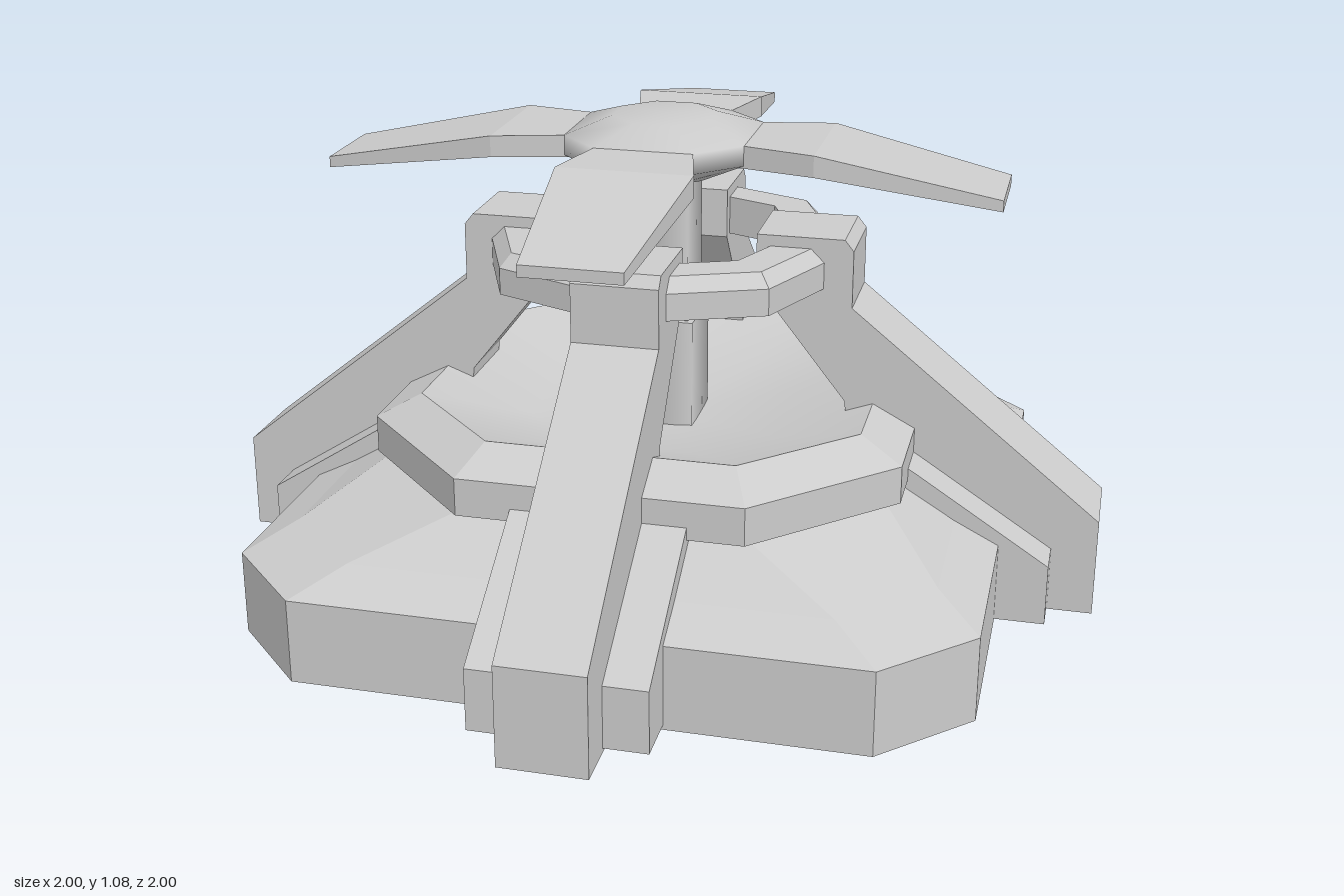
import * as THREE from 'three';
import { mergeVertices } from 'three/addons/utils/BufferGeometryUtils.js';

const material = (flat) => new THREE.MeshStandardMaterial({
  color: 0xcccccc, flatShading: flat, side: THREE.DoubleSide,
});

// Skin between successive loops of points, with optional centre-fan caps
function loft(loops, startCentre, endCentre, smooth = false) {
  const tris = [];
  const n = loops[0].length;
  for (let k = 0; k < loops.length - 1; k++) {
    for (let i = 0; i < n; i++) {
      const j = (i + 1) % n;
      const [a, b, c, d] = [loops[k][i], loops[k][j], loops[k + 1][j], loops[k + 1][i]];
      tris.push(a, b, c, a, c, d);
    }
  }
  for (let i = 0; i < n; i++) {
    const j = (i + 1) % n;
    if (startCentre) tris.push(loops[0][j], loops[0][i], startCentre);
    if (endCentre) tris.push(loops.at(-1)[i], loops.at(-1)[j], endCentre);
  }
  let geo = new THREE.BufferGeometry();
  geo.setAttribute('position', new THREE.Float32BufferAttribute(tris.flat(), 3));
  if (smooth) geo = mergeVertices(geo);
  geo.computeVertexNormals();
  return geo;
}

// Octagon with short flats (half width h) at distance d on each axis
function octagon(h, d, y) {
  return [[h, d], [d, h], [d, -h], [h, -d], [-h, -d], [-d, -h], [-d, h], [-h, d]]
    .map(([x, z]) => [x, y, z]);
}

// Regular octagon with its corners on the axes
function cornerOctagon(r, y) {
  return Array.from({ length: 8 }, (_, i) => {
    const a = (i * Math.PI) / 4;
    return [r * Math.sin(a), y, r * Math.cos(a)];
  });
}

// Side profile (radius, height) given a thickness
function slab(profile, width) {
  const shape = new THREE.Shape(profile.map(([r, y]) => new THREE.Vector2(r, y)));
  const geo = new THREE.ExtrudeGeometry(shape, { depth: width, bevelEnabled: false });
  return geo.translate(0, 0, -width / 2);
}

export function createModel() {
  const model = new THREE.Group();
  model.name = 'fanTower';
  const add = (name, geo, parent = model, flat = true) => {
    const mesh = new THREE.Mesh(geo, material(flat));
    mesh.name = name;
    parent.add(mesh);
    return mesh;
  };

  // Hollow base skirt, open underneath
  add('baseSkirt', loft([
    octagon(0.13, 1, 0.01), octagon(0.13, 1, 0.2),
    octagon(0.13, 0.86, 0.25), octagon(0.18, 0.6, 0.34),
  ]));

  // Raised rim with a chamfered top
  add('baseRim', loft([
    octagon(0.18, 0.6, 0.335), octagon(0.2, 0.64, 0.335),
    octagon(0.2, 0.64, 0.42), octagon(0.16, 0.545, 0.47),
  ]));

  // Shallow dish inside the rim
  add('dish', loft([
    octagon(0.16, 0.545, 0.47), octagon(0.1, 0.3, 0.39),
  ], null, [0, 0.36, 0], true), model, false);

  // Square shaft in two steps, corners facing the axes
  const shaft = (name, r, y0, y1) => add(name,
    new THREE.CylinderGeometry(r, r, y1 - y0, 4).translate(0, (y0 + y1) / 2, 0), model, false);
  shaft('lowerShaft', 0.118, 0, 0.62);
  shaft('upperShaft', 0.098, 0.62, 0.96);

  // Collar tying the tops of the legs together
  add('collar', loft([
    cornerOctagon(0.3, 0.73), cornerOctagon(0.42, 0.73), cornerOctagon(0.42, 0.79),
    cornerOctagon(0.39, 0.82), cornerOctagon(0.3, 0.82), cornerOctagon(0.3, 0.73),
  ]));

  // Fan hub
  add('fanHub', loft([
    octagon(0.04, 0.09, 0.94), octagon(0.065, 0.22, 1.0),
    octagon(0.065, 0.22, 1.045), octagon(0.045, 0.11, 1.08),
  ], [0, 0.94, 0], [0, 1.08, 0], true), model, false);

  // Legs, flanking ribs and fan blades on the four diagonals
  const legGeo = slab([
    [1.01, 0.01], [1.01, 0.235], [0.445, 0.69], [0.445, 0.82], [0.425, 0.845],
    [0.23, 0.845], [0.23, 0.73], [0.435, 0.47], [0.48, 0.01],
  ], 0.19);
  const ribGeo = slab([
    [0.91, 0.02], [0.91, 0.16], [0.615, 0.35], [0.55, 0.39], [0.5, 0.39], [0.5, 0.02],
  ], 0.38);
  const section = (r, w, top, bottom) =>
    [[-w, bottom, r], [w, bottom, r], [w, top, r], [-w, top, r]];
  const bladeGeo = loft([
    section(0.18, 0.105, 1.045, 0.995), section(0.36, 0.148, 1.043, 0.995),
    section(0.76, 0.106, 0.96, 0.935),
  ], [0, 1.02, 0.18], [0, 0.948, 0.76]);

  for (let i = 0; i < 4; i++) {
    const arm = new THREE.Group();
    arm.name = 'arm' + (i + 1);
    arm.rotation.y = Math.PI / 4 + (i * Math.PI) / 2;
    model.add(arm);
    add('leg', legGeo, arm);
    add('legRibs', ribGeo, arm);
    add('fanBlade', bladeGeo, arm);
  }
  return model;
}
